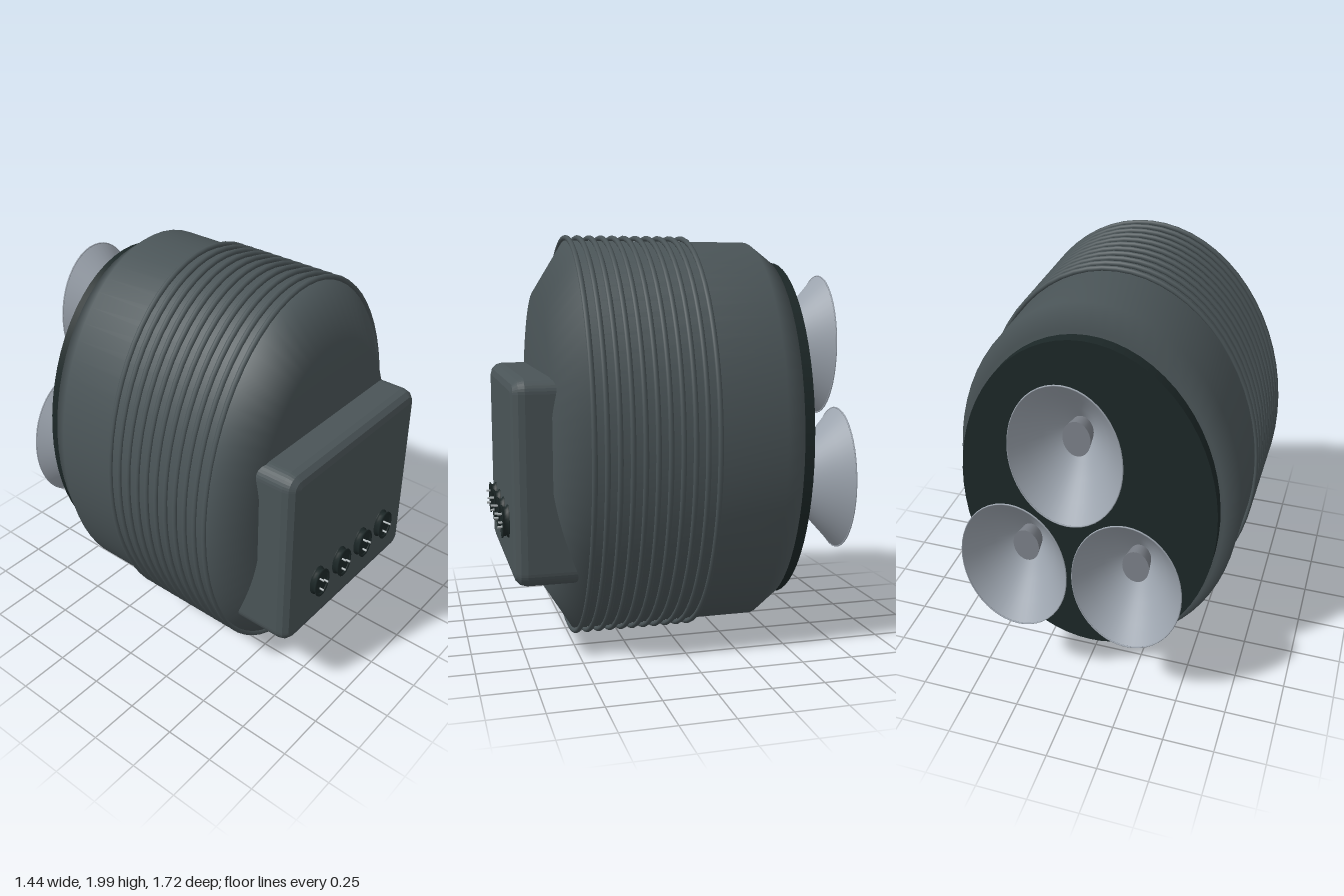
import * as THREE from 'three';

const RATIO = 0.72;   // every round part is an upright oval
const MID_Y = 1.003;

const mat = (name, color, side = THREE.FrontSide) => {
  const m = new THREE.MeshStandardMaterial({ color, side });
  m.name = name;
  return m;
};

// Oval turned along z from [radius, z] points (z ascending gives outward faces)
function ovalLathe(points, segments = 48) {
  const g = new THREE.LatheGeometry(points.map(([r, z]) => new THREE.Vector2(r, z)), segments);
  return g.rotateX(Math.PI / 2).scale(RATIO, 1, 1);
}

// Sharp-edged oval frustum between two z values
function ovalDisc(rFront, rBack, zBack, zFront, segments = 32) {
  const g = new THREE.CylinderGeometry(rFront, rBack, zFront - zBack, segments);
  return g.rotateX(Math.PI / 2).translate(0, 0, (zBack + zFront) / 2).scale(RATIO, 1, 1);
}

function add(parent, name, geometry, material, x = 0, y = 0, z = 0) {
  const mesh = new THREE.Mesh(geometry, material);
  mesh.name = name;
  mesh.position.set(x, y, z);
  parent.add(mesh);
  return mesh;
}

// Box with bevelled edges, facing +z
function softBox(w, h, d, r) {
  const a = w / 2 - r, b = h / 2 - r;
  const s = new THREE.Shape();
  s.absarc(a, b, r, 0, Math.PI / 2);
  s.absarc(-a, b, r, Math.PI / 2, Math.PI);
  s.absarc(-a, -b, r, Math.PI, Math.PI * 1.5);
  s.absarc(a, -b, r, Math.PI * 1.5, Math.PI * 2);
  const bevel = 0.06;
  return new THREE.ExtrudeGeometry(s, {
    depth: d - 2 * bevel, bevelThickness: bevel, bevelSize: bevel, bevelOffset: -bevel,
    bevelSegments: 3, curveSegments: 4,
  }).translate(0, 0, bevel);
}

export function createModel() {
  const casing = mat('casing grey', 0x4a5457);
  const dark = mat('dark plate', 0x1c2727);
  const metal = mat('nozzle metal', 0x9ca4ae, THREE.DoubleSide);
  const plugGrey = mat('plug grey', 0x7c8189);
  const pinGrey = mat('pin grey', 0xb4bbbd);

  const model = new THREE.Group();
  model.name = 'thrusterPack';

  // Oval body with soft shoulders
  add(model, 'body', ovalLathe([
    [0, -0.535], [0.893, -0.535], [0.97, -0.43], [0.97, 0.48], [0.73, 0.63], [0, 0.63],
  ], 64), casing, 0, MID_Y);

  // Ribs around the front half
  const ribs = new THREE.Group();
  ribs.name = 'ribs';
  model.add(ribs);
  const ribGeometry = new THREE.TorusGeometry(0.984, 0.013, 8, 64).scale(RATIO, 1, 1);
  for (let i = 0; i < 11; i++) add(ribs, 'rib', ribGeometry, casing, 0, MID_Y, -0.1 + i * 0.0577);

  // Rear plate
  add(model, 'rearPlate', ovalDisc(0.868, 0.868, -0.592, -0.53, 64), dark, 0, MID_Y);

  // Control box on the front
  add(model, 'controlBox', softBox(1.02, 0.965, 0.41, 0.07), casing, 0, 0.867, 0.4);

  // Row of round sockets with three pins each
  const collar = ovalLathe([
    [0.079, 0], [0.079, 0.007], [0.07, 0.012], [0.07, 0.026], [0.079, 0.031],
    [0.079, 0.036], [0.065, 0.036], [0.065, 0.028],
  ], 24);
  const face = ovalDisc(0.066, 0.066, 0, 0.03, 24);
  const pin = ovalDisc(0.006, 0.006, 0.02, 0.052, 8);
  for (let i = 0; i < 4; i++) {
    const socket = new THREE.Group();
    socket.name = 'socket';
    socket.position.set(-0.279 + i * 0.185, 0.657, 0.808);
    model.add(socket);
    add(socket, 'socketCollar', collar, dark);
    add(socket, 'socketFace', face, dark);
    for (const [x, y] of [[-0.016, 0.032], [0.022, 0], [-0.012, -0.03]]) {
      add(socket, 'socketPin', pin, pinGrey, x, y);
    }
  }

  // Three flared nozzles behind the rear plate
  const bell = ovalLathe([
    [0.362, -0.86], [0.285, -0.79], [0.21, -0.72], [0.14, -0.668], [0.075, -0.625],
  ]);
  const lip = new THREE.TorusGeometry(0.359, 0.004, 6, 48).scale(RATIO, 1, 1);
  const plug = ovalDisc(0.075, 0.09, -0.7, -0.622);
  for (const [x, y] of [[0, 1.445], [-0.272, 0.783], [0.272, 0.783]]) {
    const nozzle = new THREE.Group();
    nozzle.name = 'nozzle';
    nozzle.position.set(x, y, 0);
    model.add(nozzle);
    add(nozzle, 'nozzleBell', bell, metal);
    add(nozzle, 'nozzleLip', lip, metal, 0, 0, -0.858);
    add(nozzle, 'nozzlePlug', plug, plugGrey);
  }

  return model;
}
